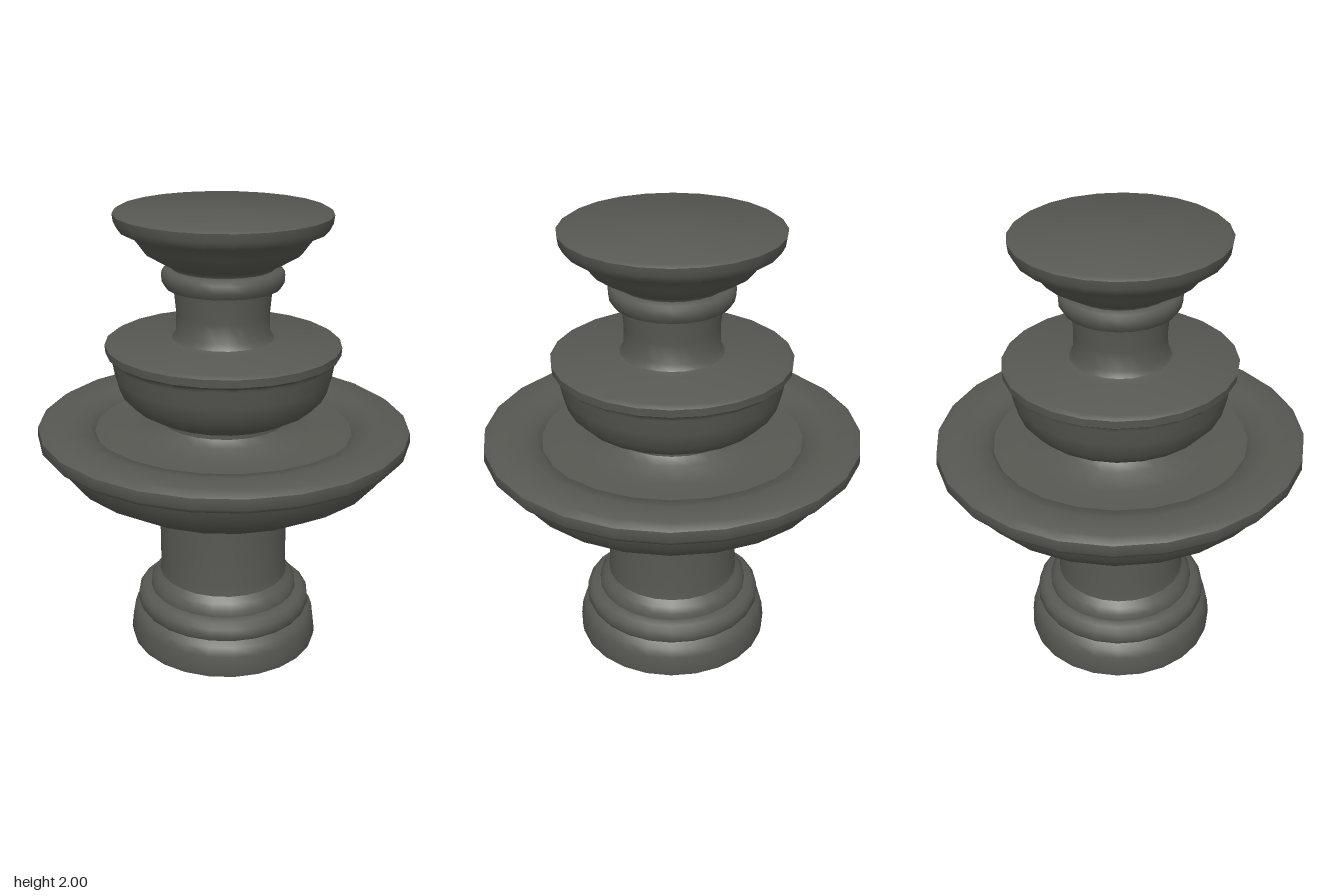
import * as THREE from 'three';
import { toCreasedNormals } from 'three/addons/utils/BufferGeometryUtils.js';

const SIDES = 24;
const DEPTH = 1.03; // the fountain is slightly deeper than wide

export function createModel() {
  const group = new THREE.Group();
  group.name = 'tieredFountain';
  const stone = new THREE.MeshStandardMaterial({ color: 0x575852 });
  stone.name = 'darkStone';

  // Turns a [radius, height] profile, listed from bottom to top
  function turned(name, profile) {
    const points = profile.map(([r, y]) => new THREE.Vector2(r, y));
    const geometry = new THREE.LatheGeometry(points, SIDES);
    geometry.scale(1, 1, DEPTH);
    const mesh = new THREE.Mesh(toCreasedNormals(geometry, 0.8), stone);
    mesh.name = name;
    group.add(mesh);
  }

  // Stepped foot
  turned('base', [
    [0, 0], [0.425, 0], [0.43, 0.03], [0.422, 0.1], [0.41, 0.14], [0.385, 0.16],
    [0.395, 0.18], [0.392, 0.22], [0.37, 0.243], [0.335, 0.25], [0.333, 0.28],
    [0.315, 0.305], [0.292, 0.33],
  ]);

  // Main column with a small collar under the basin
  turned('column', [
    [0.292, 0.33], [0.287, 0.37], [0.287, 0.685], [0.325, 0.7], [0.335, 0.725],
  ]);

  // Wide basin: underside, rolled rim, inner channel
  turned('largeBasin', [
    [0.335, 0.718], [0.4, 0.732], [0.56, 0.78], [0.69, 0.86], [0.745, 0.93],
    [0.765, 0.98], [0.8, 0.99], [0.815, 1.01], [0.813, 1.055], [0.78, 1.077],
    [0.66, 1.075], [0.59, 1.06], [0.565, 1.03], [0.42, 1.03], [0.31, 1.05], [0.28, 1.08],
  ]);

  // Middle bowl, closed on top
  turned('middleBowl', [
    [0.28, 1.08], [0.28, 1.1], [0.32, 1.115], [0.4, 1.16], [0.45, 1.215],
    [0.47, 1.29], [0.482, 1.36], [0.485, 1.375], [0.507, 1.39], [0.51, 1.425],
    [0.49, 1.438], [0.25, 1.438], [0.22, 1.45],
  ]);

  // Slim upper column and its ring
  turned('upperColumn', [
    [0.22, 1.45], [0.203, 1.475], [0.2, 1.56], [0.21, 1.67],
  ]);
  turned('columnRing', [
    [0.21, 1.67], [0.245, 1.675], [0.26, 1.7], [0.262, 1.735], [0.25, 1.752], [0.22, 1.758],
  ]);

  // Top bowl, closed on top
  turned('topBowl', [
    [0.22, 1.758], [0.225, 1.77], [0.26, 1.785], [0.335, 1.83], [0.36, 1.865],
    [0.395, 1.91], [0.44, 1.925], [0.455, 1.955], [0.46, 1.99], [0.445, 2], [0, 2],
  ]);

  return group;
}
